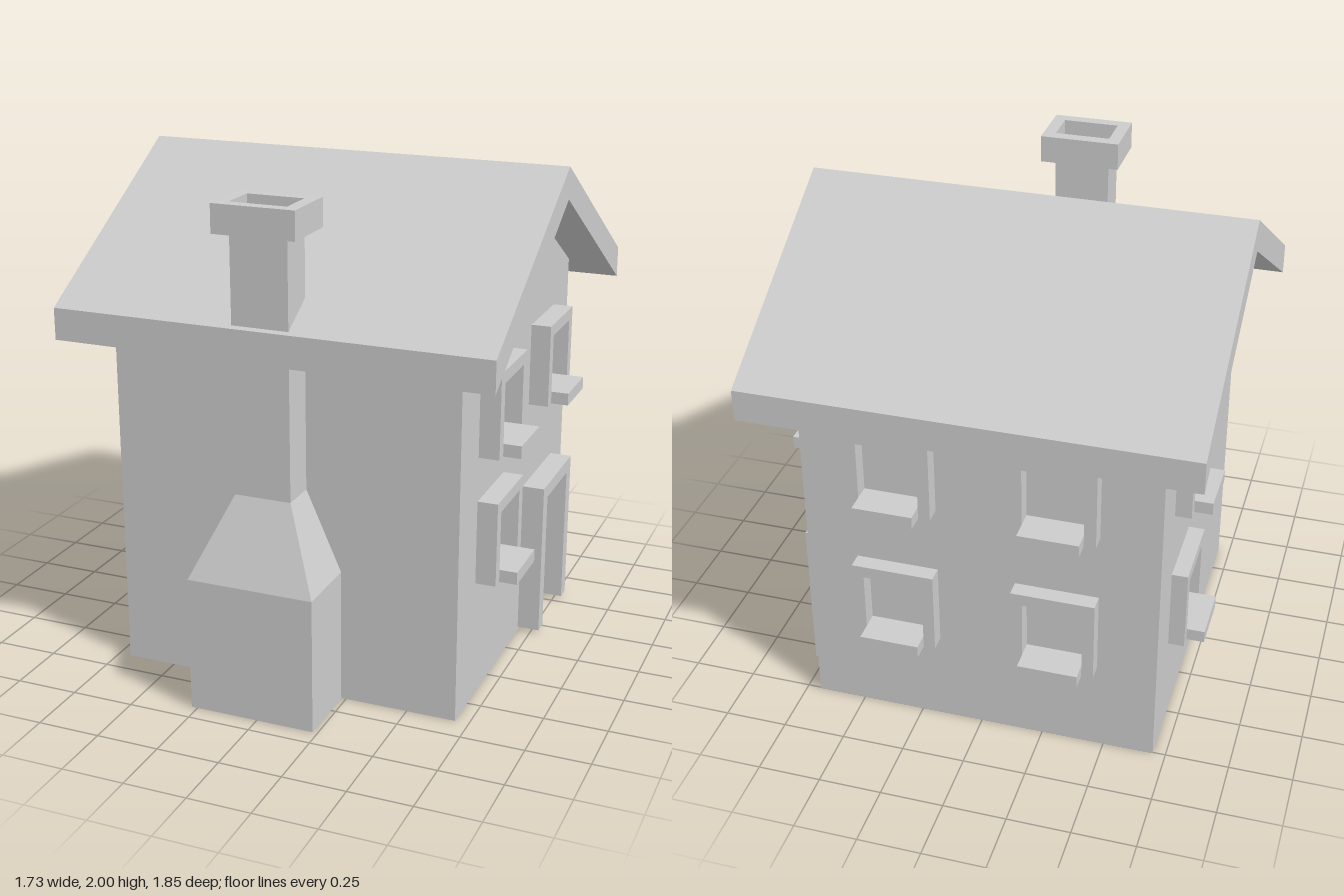
import * as THREE from 'three';

const material = new THREE.MeshStandardMaterial({ color: 0xcccccc, flatShading: true });

const mesh = (name, geometry) => {
  const m = new THREE.Mesh(geometry, material);
  m.name = name;
  return m;
};

// Box given by its minimum and maximum corners
function box(name, [x0, y0, z0], [x1, y1, z1]) {
  const g = new THREE.BoxGeometry(x1 - x0, y1 - y0, z1 - z0);
  return mesh(name, g.translate((x0 + x1) / 2, (y0 + y1) / 2, (z0 + z1) / 2));
}

const polygon = (points) => new THREE.Shape(points.map(([x, y]) => new THREE.Vector2(x, y)));
const extrude = (shape, depth) => new THREE.ExtrudeGeometry(shape, { depth, bevelEnabled: false });

// House profile in (z, y), extruded along x
function alongX(name, points, x0, x1) {
  const g = extrude(polygon(points.map(([z, y]) => [-z, y])), x1 - x0);
  return mesh(name, g.rotateY(Math.PI / 2).translate(x0, 0, 0));
}

// Surround open at the bottom: w, h outer size, t side width, top lintel height
function surround(name, w, h, t, top, depth) {
  const a = w / 2, b = a - t;
  return mesh(name, extrude(polygon([
    [-a, 0], [-b, 0], [-b, h - top], [b, h - top], [b, 0], [a, 0], [a, h], [-a, h],
  ]), depth));
}

// Window facing local +z, its back on z = 0 and its foot on y = 0
function makeWindow(depth) {
  const g = new THREE.Group();
  g.name = 'window';
  g.add(surround('windowFrame', 0.326, 0.335, 0.046, 0.048, depth));
  g.add(box('windowSill', [-0.117, 0, 0], [0.117, 0.05, depth + 0.07]));
  return g;
}

export function createModel() {
  const house = new THREE.Group();
  house.name = 'house';
  const left = -0.7, right = 0.695, back = -0.755, front = 0.645, ridge = -0.06;

  // Walls with gables, reaching just into the roof
  house.add(alongX('walls', [
    [front, 0], [back, 0], [back, 1.48], [ridge, 1.89], [front, 1.48],
  ], left, right));

  // Pitched roof slab
  house.add(alongX('roof', [
    [0.805, 1.37], [0.805, 1.495], [ridge, 2], [-0.925, 1.495], [-0.925, 1.37], [ridge, 1.875],
  ], -0.865, 0.865));

  // Chimney: base, tapered shoulder and shaft
  const chimney = new THREE.Group();
  chimney.name = 'chimney';
  chimney.add(box('chimneyBase', [-0.275, 0, front], [0.23, 0.535, 0.925]));
  const shoulder = box('chimneyShoulder', [-0.275, 0.535, front], [0.23, 0.85, 0.925]);
  const p = shoulder.geometry.attributes.position;
  for (let i = 0; i < p.count; i++) {
    if (p.getY(i) < 0.8) continue;
    p.setX(i, p.getX(i) < 0 ? -0.135 : 0.09);
    if (p.getZ(i) > 0.8) p.setZ(i, 0.79);
  }
  shoulder.geometry.computeVertexNormals();
  chimney.add(shoulder);
  chimney.add(box('chimneyShaft', [-0.135, 0.85, 0.64], [0.09, 1.847, 0.79]));

  // Hollow chimney cap
  const rect = (x0, z0, x1, z1) => [[x0, -z0], [x0, -z1], [x1, -z1], [x1, -z0]];
  const cap = polygon(rect(-0.185, 0.59, 0.14, 0.835));
  cap.holes.push(polygon(rect(-0.135, 0.64, 0.09, 0.787)));
  chimney.add(mesh('chimneyCap', extrude(cap, 0.11).rotateX(-Math.PI / 2).translate(0, 1.845, 0)));
  house.add(chimney);

  // Windows: position, facing angle, frame depth
  const place = (x, y, z, angle, depth) => {
    const w = makeWindow(depth);
    w.position.set(x, y, z);
    w.rotation.y = angle;
    house.add(w);
  };
  for (const [y, z] of [[0.99, 0.273], [0.99, -0.378], [0.48, 0.273]]) {
    place(right, y, z, Math.PI / 2, 0.08);
  }
  for (const y of [0.99, 0.383]) {
    place(left, y, -0.378, -Math.PI / 2, 0.063);
    for (const x of [0.328, -0.305]) place(x, y, back, Math.PI, 0.065);
  }

  // Door surround
  const door = surround('doorFrame', 0.415, 0.635, 0.06, 0.055, 0.09);
  door.position.set(right, 0.015, -0.378);
  door.rotation.y = Math.PI / 2;
  house.add(door);

  return house;
}
